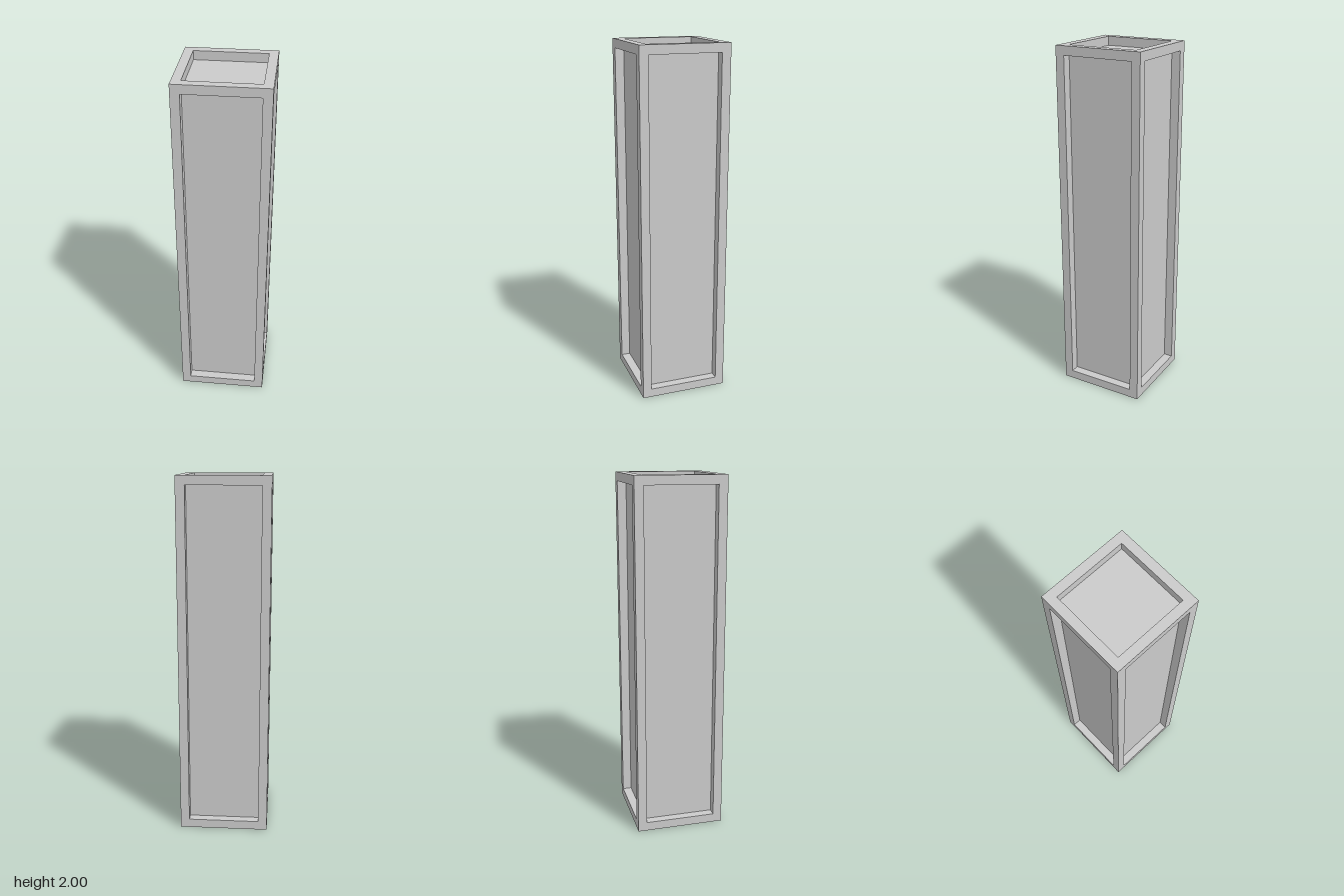
import * as THREE from 'three';

const WIDTH = 0.5, HEIGHT = 2, BORDER = 0.05, DEPTH = 0.05;
const material = new THREE.MeshStandardMaterial({ color: 0xcccccc, flatShading: true });

function addMesh(parent, geometry, name) {
  const mesh = new THREE.Mesh(geometry, material);
  mesh.name = name;
  parent.add(mesh);
  return mesh;
}

// Counter-clockwise rectangle, facing +z
function rectangle(w, h, z) {
  return [[-1, -1], [1, -1], [1, 1], [-1, 1]].map(([x, y]) => [x * w / 2, y * h / 2, z]);
}

// Flat border and the walls stepping in to the recess
function frameGeometry(w, h) {
  const iw = w - 2 * BORDER, ih = h - 2 * BORDER;
  const loops = [rectangle(w, h, 0), rectangle(iw, ih, 0), rectangle(iw, ih, -DEPTH)];
  const positions = [];
  for (let k = 0; k < 2; k++) {
    const a = loops[k], b = loops[k + 1];
    for (let i = 0; i < 4; i++) {
      const j = (i + 1) % 4;
      positions.push(...a[i], ...a[j], ...b[j], ...a[i], ...b[j], ...b[i]);
    }
  }
  const geometry = new THREE.BufferGeometry();
  geometry.setAttribute('position', new THREE.Float32BufferAttribute(positions, 3));
  geometry.computeVertexNormals();
  return geometry;
}

// One face of the column: raised frame around a sunken panel
function recessedFace(name, w, h) {
  const face = new THREE.Group();
  face.name = name;
  addMesh(face, frameGeometry(w, h), name + 'Frame');
  const panel = new THREE.PlaneGeometry(w - 2 * BORDER, h - 2 * BORDER);
  addMesh(face, panel, name + 'Panel').position.z = -DEPTH;
  return face;
}

export function createModel() {
  const model = new THREE.Group();
  model.name = 'panelledColumn';

  // Four sides
  ['front', 'left', 'back', 'right'].forEach((name, i) => {
    const angle = i * Math.PI / 2;
    const side = recessedFace(name, WIDTH, HEIGHT);
    side.rotation.y = angle;
    side.position.set(Math.sin(angle) * WIDTH / 2, HEIGHT / 2, Math.cos(angle) * WIDTH / 2);
    model.add(side);
  });

  // Recessed top
  const top = recessedFace('top', WIDTH, WIDTH);
  top.rotation.x = -Math.PI / 2;
  top.position.y = HEIGHT;
  model.add(top);

  // Plain underside
  addMesh(model, new THREE.PlaneGeometry(WIDTH, WIDTH), 'underside').rotation.x = Math.PI / 2;

  return model;
}
